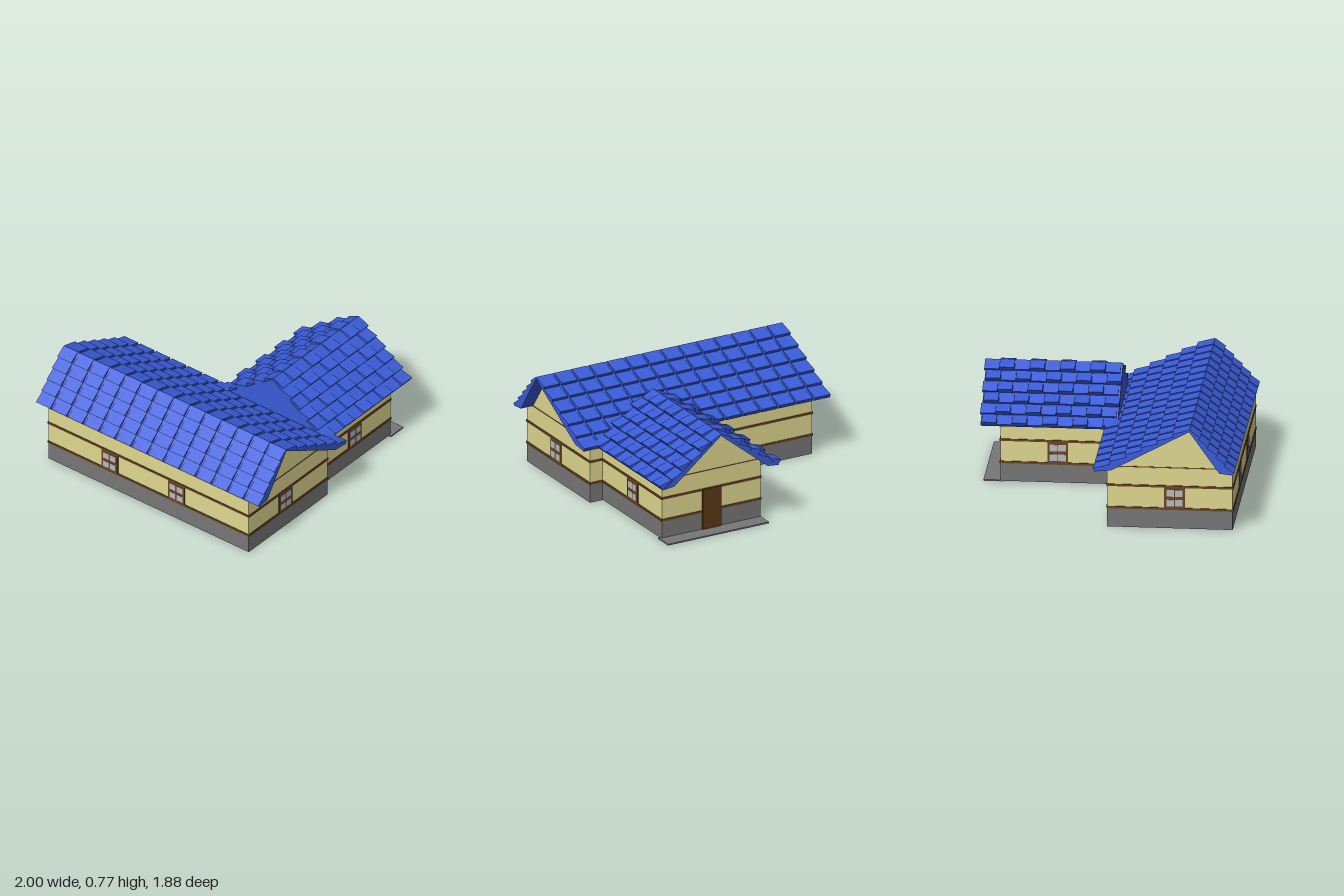
import * as THREE from 'three';
import { mergeGeometries } from 'three/addons/utils/BufferGeometryUtils.js';

const mat = (color) => new THREE.MeshStandardMaterial({ color, flatShading: true });

export function createModel() {
  const M = {
    wall: mat(0xe0d890), stone: mat(0x777777), wood: mat(0x6b4423), door: mat(0x5c3618),
    glass: mat(0xbbbbbb), roof: mat(0x3a5cd8), dark: mat(0x4a4a4a),
  };
  const model = new THREE.Group();
  model.name = 'house';

  const add = (parent, name, geo, material) => {
    const m = new THREE.Mesh(geo, material);
    m.name = name;
    parent.add(m);
    return m;
  };
  // box given by its lower and upper limits
  const box = (parent, name, material, x0, x1, y0, y1, z0, z1) => {
    const m = add(parent, name, new THREE.BoxGeometry(x1 - x0, y1 - y0, z1 - z0), material);
    m.position.set((x0 + x1) / 2, (y0 + y1) / 2, (z0 + z1) / 2);
    return m;
  };
  // polygon in x-y pushed along z from z0 to z1
  const prism = (pts, z0, z1) =>
    new THREE.ExtrudeGeometry(new THREE.Shape(pts.map((p) => new THREE.Vector2(...p))),
      { depth: z1 - z0, bevelEnabled: false }).translate(0, 0, z0);

  // foundation, walls and the two timber bands of one block
  const block = (name, x0, x1, z0, z1, base = 0) => {
    const g = new THREE.Group();
    g.name = name;
    model.add(g);
    box(g, 'foundation', M.stone, x0, x1, base, 0.145, z0, z1);
    box(g, 'walls', M.wall, x0, x1, 0.145, 0.445, z0, z1);
    const e = 0.006;
    for (const y of [0.145, 0.31])
      box(g, 'timberBand', M.wood, x0 - e, x1 + e, y - 0.008, y + 0.008, z0 - e, z1 + e);
  };
  block('mainBlock', -0.9, 0.9, 0.035, 0.92);
  block('wingBlock', 0, 0.8, -0.8, 0.04, 0.004);
  box(model, 'wingFloor', M.dark, 0.06, 0.74, 0, 0.01, -0.74, -0.02);

  // one slope of tiles: wedges thin at the top, thick at the lower edge
  const tiles = (ridge, eave, rows, cols, z0, z1, gap, thick, shift) => {
    const dx = eave[0] - ridge[0], dy = eave[1] - ridge[1], len = Math.hypot(dx, dy);
    const nx = (-dy / len) * Math.sign(dx), ny = Math.abs(dx) / len;
    const at = (t, h) => [ridge[0] + dx * t + nx * h, ridge[1] + dy * t + ny * h];
    const pitch = (z1 - z0 + gap) / cols;
    const list = [];
    for (let r = 0; r < rows; r++) {
      const a = r / rows, b = (r + 1) / rows;
      for (let c = 0; c < cols; c++) {
        const h = thick(r, c), s = z0 + c * pitch + shift(r);
        list.push(prism([at(a, -0.004), at(b, -0.004), at(b, h), at(a, h * 0.12)], s, s + pitch - gap));
      }
    }
    return mergeGeometries(list);
  };

  // gabled roof with its ridge along z: shell, gable walls and tiles
  const roof = (name, o) => {
    const g = new THREE.Group();
    g.name = name;
    const [L, P, R] = o.outer, [l, p, r] = o.inner;
    add(g, 'roofShell', prism([L, P, R, r, p, l], o.z0, o.z1), M.roof);
    add(g, 'gableWalls', prism([l, r, p], o.wall0, o.wall1), M.wall);
    box(g, 'gableSill', M.wood, l[0], r[0], 0.447, 0.453, o.wall0 - 0.003, o.wall1 + 0.003);
    [[L, o.rows[0]], [R, o.rows[1]]].forEach(([e, n], i) =>
      add(g, 'roofTiles', tiles(P, e, n, o.cols, o.z0, o.z1, o.gap, o.thick[i], o.shift), M.roof));
    model.add(g);
    return g;
  };

  // main roof is turned so that its profile runs along z
  roof('mainRoof', {
    outer: [[-0.045, 0.44], [0.625, 0.763], [0.925, 0.44]],
    inner: [[0.07, 0.45], [0.622, 0.752], [0.835, 0.45]],
    z0: -1, z1: 1, wall0: -0.9, wall1: 0.9, rows: [6, 5], cols: 14, gap: 0.019,
    thick: [() => 0.026, () => 0.02], shift: () => 0,
  }).rotation.y = -Math.PI / 2;

  // wing roof has rougher tiles, alternately high and low
  const rough = (r, c) => ((r + c) % 2 ? 0.04 : 0.018);
  const wing = roof('wingRoof', {
    outer: [[-0.07, 0.435], [0.4, 0.768], [0.87, 0.435]],
    inner: [[0.02, 0.445], [0.4, 0.752], [0.78, 0.445]],
    z0: -0.935, z1: 0.025, wall0: -0.8, wall1: 0.0, rows: [6, 6], cols: 9, gap: 0.002,
    thick: [rough, rough], shift: (r) => (r % 2 ? 0.008 : -0.008),
  });
  add(wing, 'roofEnd', prism([[-0.07, 0.435], [0.87, 0.435], [0.4, 0.768]], 0.01, 0.03), M.roof);

  // window with four panes, facing +z before it is turned
  const windowAt = (x, z, turn) => {
    const g = new THREE.Group();
    g.name = 'window';
    box(g, 'windowFrame', M.wood, -0.073, 0.073, 0.15, 0.31, -0.01, 0.006);
    for (const s of [-1, 1])
      for (const y of [0.165, 0.237])
        box(g, 'windowPane', M.glass, s * 0.03 - 0.027, s * 0.03 + 0.027, y, y + 0.049, 0, 0.009);
    g.position.set(x, 0, z);
    g.rotation.y = turn;
    model.add(g);
  };
  const q = Math.PI / 2;
  windowAt(-0.347, 0.92, 0);
  windowAt(0.253, 0.92, 0);
  windowAt(0.9, 0.51, q);
  windowAt(-0.9, 0.51, -q);
  windowAt(0.8, -0.395, q);
  windowAt(0, -0.395, -q);

  // back door and its step
  box(model, 'door', M.door, 0.325, 0.475, 0.008, 0.31, -0.81, -0.79);
  box(model, 'doorStep', M.stone, 0, 0.82, 0, 0.01, -0.92, -0.78);

  return model;
}
